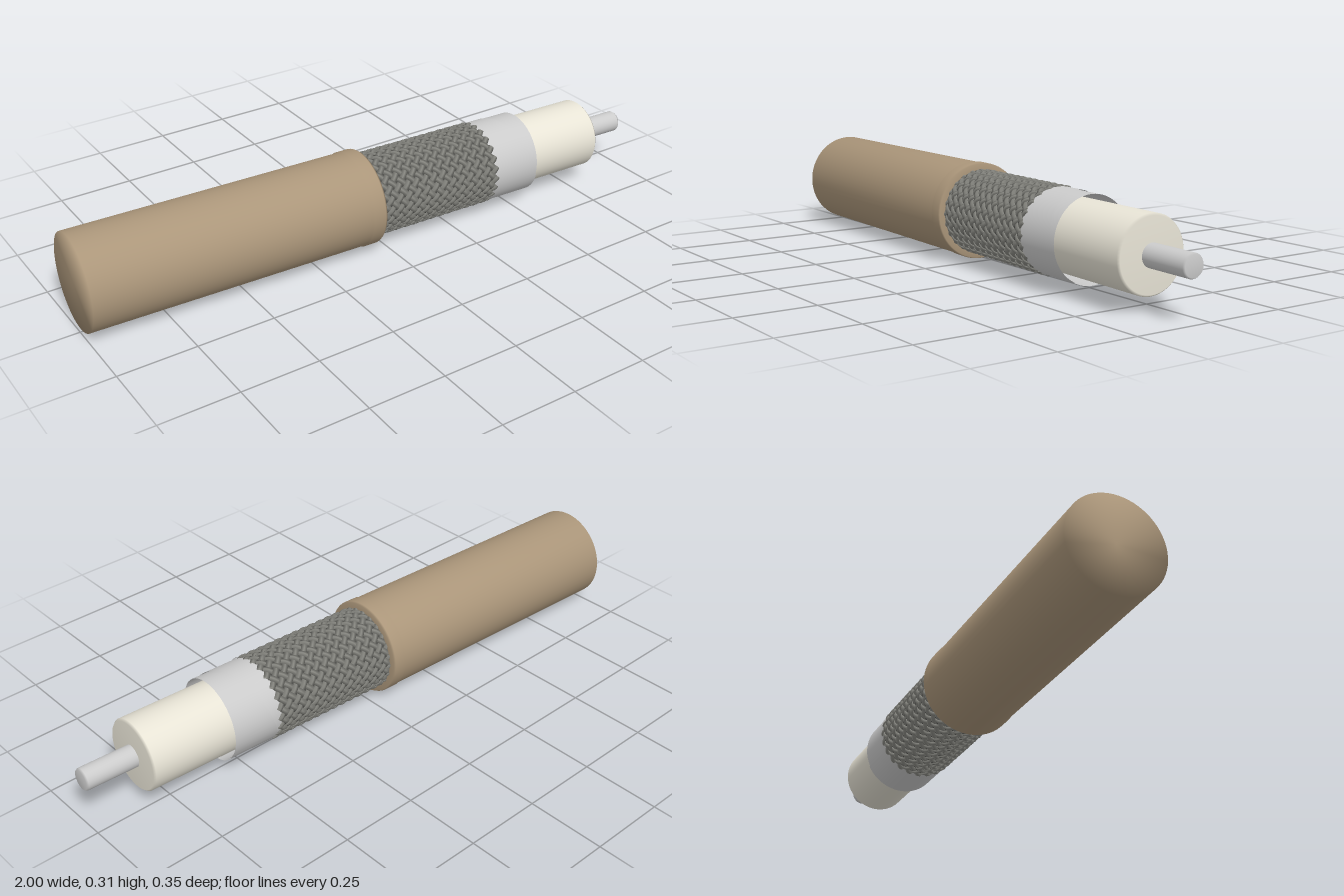
import * as THREE from 'three';

// The cable is built along local y and then laid down along x.
const V = (r, s) => new THREE.Vector2(r, s);

function material(color, doubleSided = false) {
  return new THREE.MeshStandardMaterial({ color, side: doubleSided ? THREE.DoubleSide : THREE.FrontSide });
}

function lathe(name, points, mat) {
  const mesh = new THREE.Mesh(new THREE.LatheGeometry(points.map(p => V(...p)), 64), mat);
  mesh.name = name;
  return mesh;
}

// Indexed geometry from positions and triangle indices
function geometry(pos, idx) {
  const g = new THREE.BufferGeometry();
  g.setAttribute('position', new THREE.Float32BufferAttribute(pos, 3));
  g.setIndex(idx);
  g.computeVertexNormals();
  return g;
}

// One set of helical strands, weaving over and under the opposite set
function braidStrands(dir) {
  const carriers = 24, segs = 104, s0 = -0.04, length = 0.44;
  const omega = (Math.PI * 2 * 0.55) / length;
  const halfWidth = 0.0095, halfThick = 0.003;
  const pos = [], idx = [];
  for (let i = 0; i < carriers; i++) {
    const base = pos.length / 3;
    for (let j = 0; j <= segs; j++) {
      const s = (length * j) / segs;
      const theta = (i / carriers) * Math.PI * 2 + dir * omega * s;
      const r = 0.1315 + dir * 0.0025 * Math.cos(carriers * omega * s);
      const R = new THREE.Vector3(Math.cos(theta), 0, Math.sin(theta));
      const T = new THREE.Vector3(-r * omega * dir * R.z, 1, r * omega * dir * R.x).normalize();
      const B = T.clone().cross(R);
      const center = R.clone().multiplyScalar(r).setY(s0 + s);
      for (const [b, n] of [[1, 0], [0, 1], [-1, 0], [0, -1]]) {
        const p = center.clone().addScaledVector(B, b * halfWidth).addScaledVector(R, n * halfThick);
        pos.push(p.x, p.y, p.z);
      }
      if (j === segs) continue;
      for (let k = 0; k < 4; k++) {
        const a = base + j * 4 + k, b = base + j * 4 + ((k + 1) % 4);
        idx.push(a, a + 4, b, b, a + 4, b + 4);
      }
    }
  }
  return geometry(pos, idx);
}

// Outer foil turn, cut along a helical edge
function foilWrap() {
  const pos = [], idx = [], n = 96, start = -0.46;
  for (let i = 0; i <= n; i++) {
    const phi = start + (i / n) * Math.PI * 2;
    const edge = THREE.MathUtils.clamp(0.42 + (0.13 * phi) / Math.PI, 0.401, 0.562);
    for (const s of [0.4, edge]) pos.push(-0.133 * Math.sin(phi), s, -0.133 * Math.cos(phi));
    if (i < n) idx.push(i * 2, i * 2 + 2, i * 2 + 1, i * 2 + 1, i * 2 + 2, i * 2 + 3);
  }
  return geometry(pos, idx);
}

export function createModel() {
  const model = new THREE.Group();
  model.name = 'strippedCable';
  const cable = new THREE.Group();
  cable.name = 'cableLayers';
  cable.rotation.z = -Math.PI / 2;

  // Outer jacket with a raised lip at the cut
  cable.add(lathe('jacket', [
    [0, -0.994], [0.1525, -0.994], [0.1525, -0.086], [0.155, -0.082],
    [0.155, -0.042], [0.152, -0.036], [0.128, -0.036],
  ], material(0xab967a)));

  // Woven shield over a dark core
  const braidMat = material(0x85857f);
  cable.add(lathe('braidCore', [[0.128, -0.06], [0.129, 0.398], [0.113, 0.4]], material(0x4a4a47)));
  for (const [name, dir] of [['braidStrandsRight', 1], ['braidStrandsLeft', -1]]) {
    const strands = new THREE.Mesh(braidStrands(dir), braidMat);
    strands.name = name;
    cable.add(strands);
  }

  // Foil: open inner tube and overlapping outer turn
  const foilMat = material(0xd6d6d4, true);
  cable.add(lathe('foilTube', [[0.131, 0.39], [0.131, 0.56]], foilMat));
  const wrap = new THREE.Mesh(foilWrap(), foilMat);
  wrap.name = 'foilWrap';
  cable.add(wrap);

  // Insulating core
  cable.add(lathe('dielectric', [
    [0.114, 0.38], [0.114, 0.822], [0.108, 0.829], [0, 0.829],
  ], material(0xe8e4d6)));

  // Centre conductor
  cable.add(lathe('conductor', [
    [0.035, 0.8], [0.035, 0.992], [0.031, 0.998], [0, 0.998],
  ], material(0xcccccc)));

  // Slight yaw of the whole cable
  const tilt = new THREE.Group();
  tilt.name = 'cable';
  tilt.rotation.y = -Math.atan(0.0425);
  tilt.position.set(0, 0.155, 0.0175);
  tilt.add(cable);
  model.add(tilt);
  return model;
}
